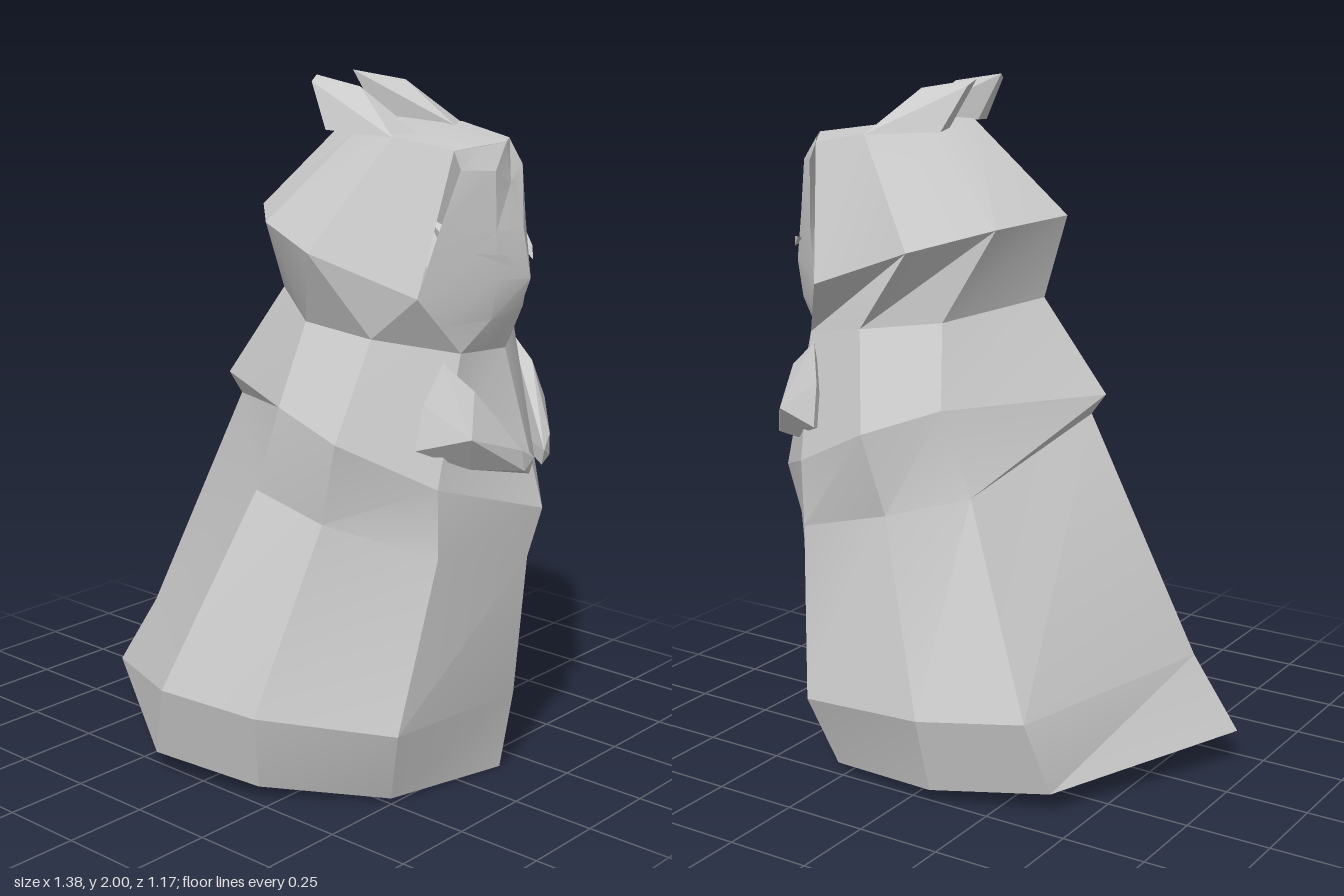
import * as THREE from 'three';
import { toCreasedNormals } from 'three/addons/utils/BufferGeometryUtils.js';
import { ConvexGeometry } from 'three/addons/geometries/ConvexGeometry.js';

const material = new THREE.MeshStandardMaterial({ color: 0xcccccc, side: THREE.DoubleSide });
const CREASE = 0.35;

// Points are [side, height, forward].
const mirror = ([x, y, z]) => [-x, y, z];

// Half ring (front centre ... back centre) to a closed ring of 8 points.
const ring = half => [...half, ...half.slice(1, -1).reverse().map(mirror)];

// Half row (centre ... edge) to a full open row.
const row = half => [...half.slice(1).reverse().map(mirror), ...half];

// Joins rows of points, listed from bottom to top, into a surface.
function skin(rows, closed, keep = () => true) {
  const out = [];
  for (let j = 0; j < rows.length - 1; j++) {
    const n = rows[j].length;
    for (let i = 0; i < (closed ? n : n - 1); i++) {
      if (!keep(i)) continue;
      const k = (i + 1) % n;
      const [a, b, c, d] = [rows[j][i], rows[j][k], rows[j + 1][k], rows[j + 1][i]];
      out.push(...a, ...b, ...c, ...a, ...c, ...d);
    }
  }
  const g = new THREE.BufferGeometry();
  g.setAttribute('position', new THREE.Float32BufferAttribute(out, 3));
  return toCreasedNormals(g, CREASE);
}

const hull = points => new ConvexGeometry(points.map(p => new THREE.Vector3(...p)));
const point = p => Array(8).fill(p);

export function createModel() {
  const model = new THREE.Group();
  model.name = 'hoodedFigure';
  const add = (name, geometry) => {
    const mesh = new THREE.Mesh(geometry, material);
    mesh.name = name;
    model.add(mesh);
  };
  const pair = (name, points) => {
    add(name + 'Left', hull(points));
    add(name + 'Right', hull(points.map(mirror)));
  };

  // Robe: slanted base, flared hem with a trailing cape point, chest
  const base = ring([[0, 0, 0.595], [0.36, 0.01, 0.41], [0.516, 0.04, 0.07], [0.494, 0.065, -0.28], [0, 0.105, -0.715]]);
  const hem = ring([[0, 0.24, 0.632], [0.445, 0.24, 0.467], [0.575, 0.27, 0.088], [0.555, 0.29, -0.221], [0, 0.33, -0.58]]);
  const chest = ring([[0, 0.66, 0.663], [0.31, 0.72, 0.52], [0.425, 0.81, 0.224], [0.37, 0.865, -0.01], [0, 1.04, -0.26]]);
  const collar = ring([[0, 0.81, 0.704], [0.32, 0.92, 0.52], [0.46, 1.05, 0.279], [0.385, 1.115, 0.07], [0, 1.1, -0.302]]);
  const neck = ring([[0, 1.26, 0.58], [0.2, 1.275, 0.53], [0.335, 1.32, 0.325], [0.28, 1.34, 0.1], [0, 1.375, -0.115]]);
  add('robe', skin([point([0, 0.05, -0.06]), base, hem, chest, collar], true));
  add('shoulderCape', skin([collar, neck], true));

  // Hood: open at the front, closed on top
  const brim = ring([[0, 1.46, 0.65], [0.335, 1.44, 0.459], [0.395, 1.55, 0.164], [0.24, 1.6, -0.045], [0, 1.615, -0.182]]);
  const crown = ring([[0, 1.83, 0.57], [0.2, 1.82, 0.5], [0.24, 1.855, 0.34], [0.14, 1.87, 0.2], [0, 1.88, 0.095]]);
  add('hood', skin([neck, brim, crown], true, i => i > 0 && i < 7));
  add('hoodTop', skin([crown, point([0, 1.865, 0.32])], true));

  // Face: central ridge ending in a beak
  add('face', skin([
    [[0, 1.26, 0.58], [0.1, 1.267, 0.555], [0.2, 1.275, 0.53]],
    [[0, 1.37, 0.62], [0.12, 1.36, 0.585], [0.265, 1.355, 0.495]],
    [[0, 1.46, 0.65], [0.12, 1.47, 0.6], [0.335, 1.44, 0.459]],
    [[0, 1.6, 0.625], [0.11, 1.6, 0.59], [0.28, 1.6, 0.49]],
    [[0, 1.72, 0.585], [0.1, 1.76, 0.58], [0.2, 1.77, 0.52]],
    [[0, 1.83, 0.57], [0.1, 1.825, 0.54], [0.2, 1.82, 0.5]],
  ].map(row), false));
  pair('eyelid', [[0.2, 1.55, 0.562], [0.1, 1.535, 0.615], [0.07, 1.5, 0.63], [0.1, 1.515, 0.61], [0.12, 1.53, 0.57]]);

  // Ears: swept back, tapering down to the front of the hood
  pair('ear', [
    [0.115, 2, 0.05], [0.165, 1.985, 0.06], [0.15, 1.975, 0.2],
    [0.13, 1.855, 0.36], [0.24, 1.85, 0.34], [0.21, 1.86, 0.125], [0.13, 1.865, 0.125],
  ]);

  // Leaf-shaped clasps on the chest
  pair('clasp', [
    [0.25, 1.255, 0.5], [0.31, 1.15, 0.47], [0.35, 1.03, 0.465], [0.22, 1.18, 0.58],
    [0.28, 1.06, 0.6], [0.11, 1, 0.68], [0.1, 0.94, 0.685], [0.04, 0.965, 0.69],
    [0.05, 0.92, 0.68], [0.22, 0.96, 0.57], [0.25, 1, 0.46],
  ]);

  // The figure looks toward its left
  model.rotation.y = 1.837;
  return model;
}
